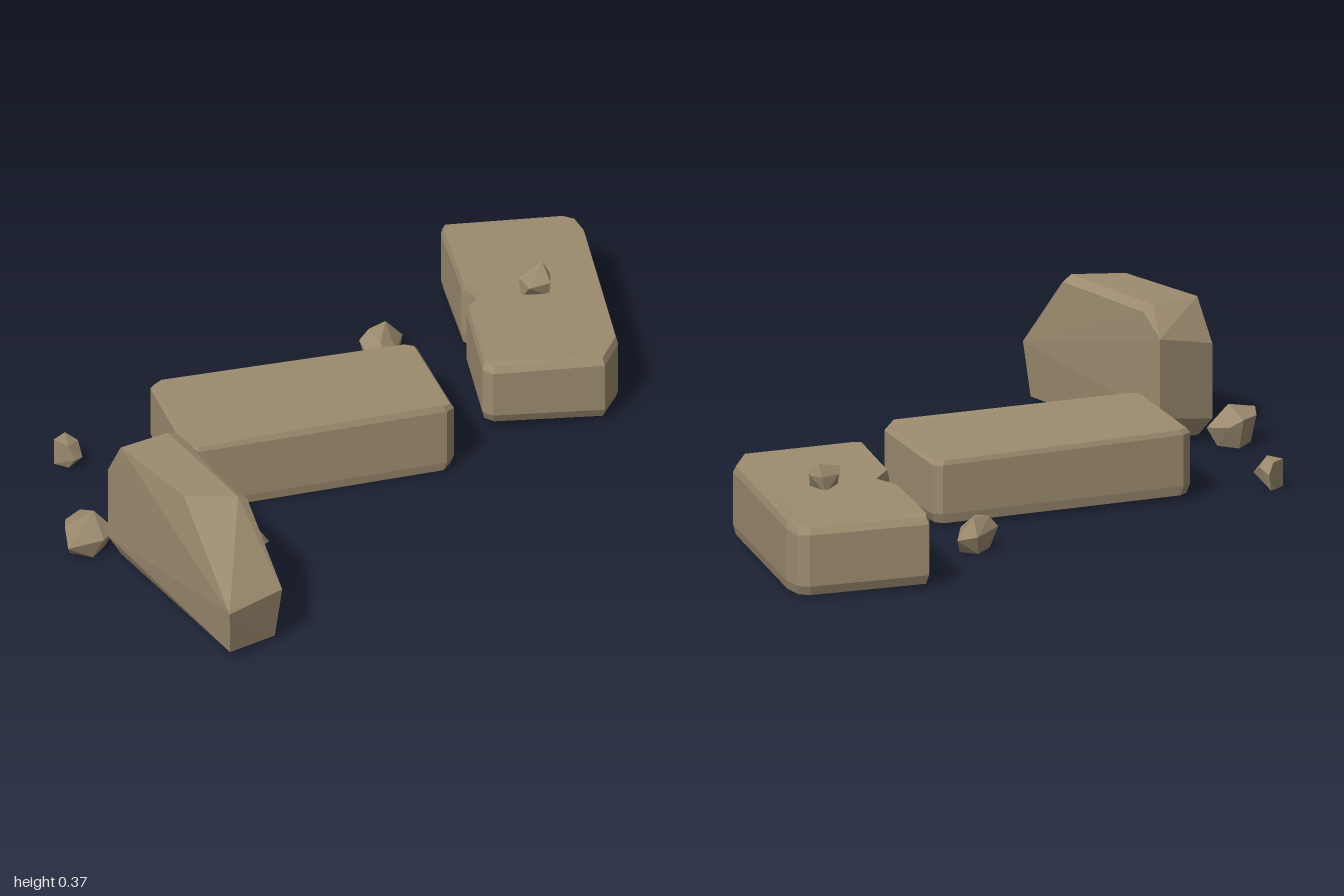
import * as THREE from 'three';
import { ConvexGeometry } from 'three/addons/geometries/ConvexGeometry.js';

const stone = new THREE.MeshStandardMaterial({ color: 0x9c8b6f });
stone.name = 'sandstone';

// Faceted rock: hull around a few [x, y, z] corners
function hullRock(name, corners) {
  const geometry = new ConvexGeometry(corners.map((p) => new THREE.Vector3(...p)));
  const mesh = new THREE.Mesh(geometry, stone);
  mesh.name = name;
  return mesh;
}

// Slab with bevelled rims from an outline of [x, z, bottom, top]
function slab(name, outline, center, inset, bevelLow, bevelHigh) {
  const n = outline.length;
  const ring = (shrink, height) => outline.map(([x, z, lo, hi]) => [
    center[0] + (x - center[0]) * (1 - shrink),
    height(lo, hi),
    center[1] + (z - center[1]) * (1 - shrink),
  ]);
  const rings = [
    ring(inset, (lo) => lo),
    ring(0, (lo) => lo + bevelLow),
    ring(0, (lo, hi) => hi - bevelHigh),
    ring(inset, (lo, hi) => hi),
  ];
  const out = [];
  const tri = (a, b, c) => out.push(...a, ...b, ...c);
  for (let r = 0; r < rings.length - 1; r++) {
    for (let i = 0; i < n; i++) {
      const j = (i + 1) % n;
      const low = rings[r], high = rings[r + 1];
      tri(low[i], high[i], high[j]);
      tri(low[i], high[j], low[j]);
    }
  }
  const flat = outline.map(([x, z]) => new THREE.Vector2(x, z));
  for (const [a, b, c] of THREE.ShapeUtils.triangulateShape(flat, [])) {
    tri(rings[0][a], rings[0][b], rings[0][c]);
    tri(rings[3][a], rings[3][c], rings[3][b]);
  }
  const geometry = new THREE.BufferGeometry();
  geometry.setAttribute('position', new THREE.Float32BufferAttribute(out, 3));
  geometry.computeVertexNormals();
  const mesh = new THREE.Mesh(geometry, stone);
  mesh.name = name;
  return mesh;
}

export function createModel() {
  const group = new THREE.Group();
  group.name = 'brokenStoneSlabs';

  // Upright slab with a sloping front end
  group.add(hullRock('uprightSlab', [
    [-0.98, 0.02, 0.435], [-0.84, 0.015, 0.47], [-0.65, 0.015, -0.03], [-0.78, 0.015, -0.08],
    [-1, 0.15, 0.45], [-0.835, 0.16, 0.49],
    [-0.9, 0.368, 0.22], [-0.79, 0.352, 0.34], [-0.815, 0.368, 0.33],
    [-0.82, 0.368, -0.05], [-0.69, 0.368, 0], [-0.66, 0.355, 0.01],
    [-0.63, 0.3, -0.06], [-0.63, 0.09, -0.06], [-0.79, 0.26, -0.115], [-0.79, 0.06, -0.115],
  ]));

  // Flat slab in the middle
  group.add(slab('middleSlab', [
    [-0.315, -0.355, 0.015, 0.188], [-0.285, -0.355, 0.015, 0.188],
    [0.26, 0.025, 0.012, 0.178], [0.27, 0.05, 0.012, 0.178],
    [0.095, 0.31, 0.008, 0.188], [0.06, 0.315, 0.006, 0.196],
    [-0.49, -0.065, 0.004, 0.195], [-0.5, -0.09, 0.004, 0.195],
  ], [-0.115, -0.02], 0.025, 0.025, 0.012));

  // Flat slab with a chipped edge
  group.add(slab('chippedSlab', [
    [0.725, -0.235, 0.012, 0.192], [0.75, -0.25, 0.012, 0.19],
    [0.985, -0.04, 0.005, 0.184], [0.995, -0.01, 0.005, 0.182],
    [0.965, 0.045, 0.004, 0.184], [0.605, 0.44, 0.004, 0.186],
    [0.5, 0.48, 0.012, 0.188], [0.28, 0.29, 0.028, 0.196], [0.275, 0.26, 0.03, 0.2],
    [0.46, 0.06, 0.022, 0.2], [0.535, 0.045, 0.02, 0.196], [0.55, -0.03, 0.018, 0.196],
  ], [0.66, 0.12], 0.03, 0.025, 0.018));

  // Loose chips
  group.add(hullRock('chipOnSlab', [
    [0.61, 0.18, 0.12], [0.68, 0.18, 0.11], [0.66, 0.18, 0.17], [0.605, 0.22, 0.15],
    [0.61, 0.238, 0.11], [0.64, 0.225, 0.095], [0.69, 0.225, 0.115], [0.69, 0.225, 0.15],
    [0.66, 0.22, 0.175], [0.682, 0.257, 0.13],
  ]));
  group.add(hullRock('chipBehindUprightSlab', [
    [-0.82, 0, -0.14], [-0.76, 0, -0.15], [-0.77, 0, -0.21], [-0.84, 0, -0.2],
    [-0.89, 0.05, -0.165], [-0.8, 0.05, -0.12], [-0.74, 0.05, -0.13], [-0.74, 0.06, -0.2],
    [-0.76, 0.08, -0.23], [-0.82, 0.08, -0.23], [-0.86, 0.09, -0.2], [-0.78, 0.11, -0.17],
  ]));
  group.add(hullRock('chipAtBack', [
    [-0.535, 0.002, -0.495], [-0.48, 0.002, -0.495], [-0.53, 0.005, -0.45],
    [-0.538, 0.04, -0.425], [-0.505, 0.035, -0.425], [-0.538, 0.075, -0.445],
    [-0.47, 0.045, -0.495], [-0.48, 0.06, -0.46], [-0.49, 0.075, -0.495], [-0.535, 0.075, -0.495],
  ]));
  group.add(hullRock('chipAtFront', [
    [-0.58, 0.022, 0.12], [-0.55, 0.005, 0.155], [-0.48, 0, 0.165], [-0.47, 0.01, 0.13],
    [-0.53, 0.005, 0.1], [-0.51, 0.012, 0.175], [-0.54, 0.07, 0.12],
    [-0.52, 0.07, 0.14], [-0.48, 0.035, 0.105],
  ]));
  group.add(hullRock('chipBesideSlab', [
    [0.34, 0, -0.17], [0.35, 0, -0.11], [0.42, 0, -0.13], [0.41, 0, -0.18],
    [0.32, 0.05, -0.16], [0.325, 0.045, -0.1], [0.37, 0.05, -0.1], [0.455, 0.04, -0.145],
    [0.43, 0.05, -0.19], [0.34, 0.06, -0.195], [0.36, 0.09, -0.18], [0.41, 0.095, -0.165],
    [0.34, 0.08, -0.125],
  ]));

  return group;
}
